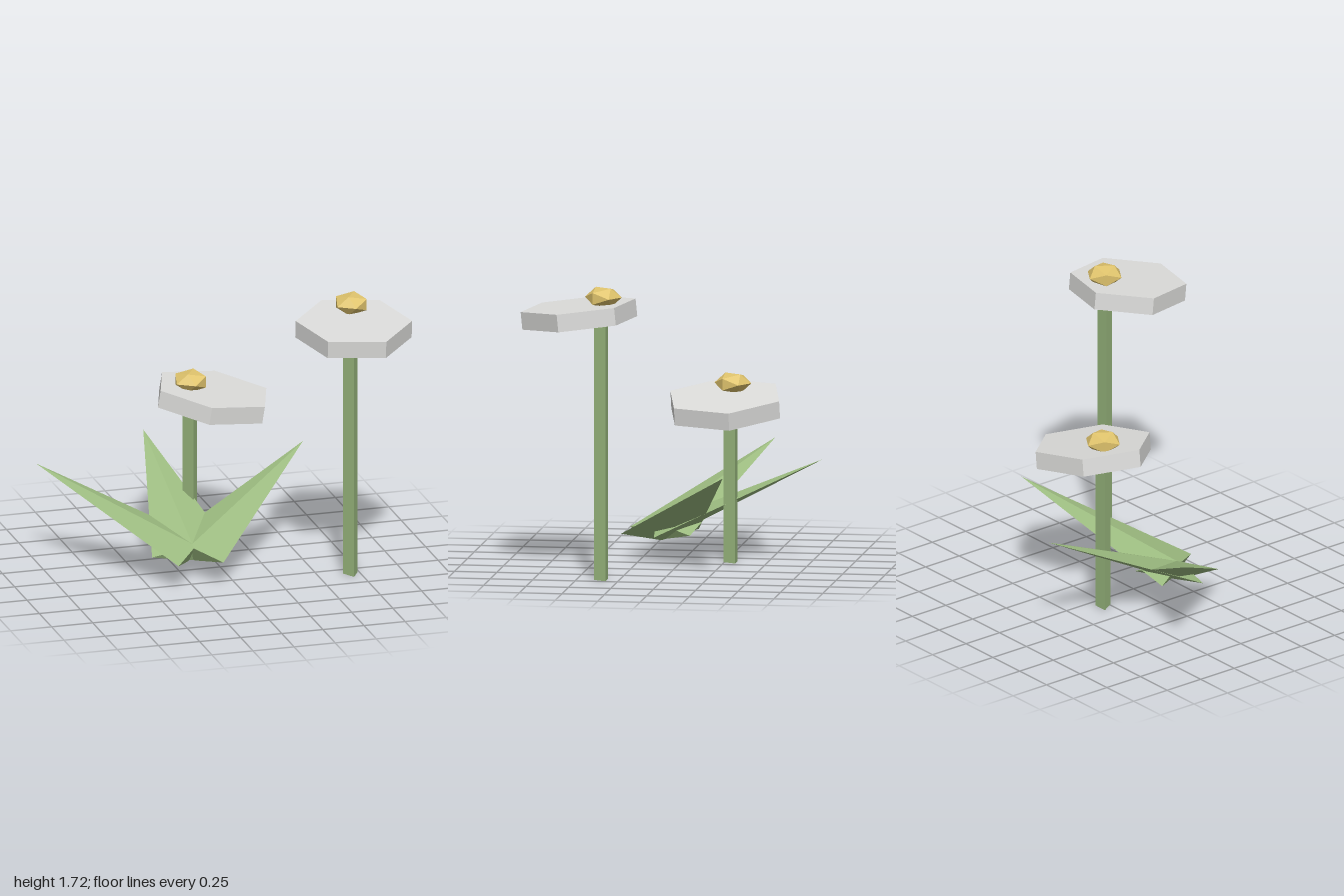
import * as THREE from 'three';

const material = (name, color) => {
  const m = new THREE.MeshStandardMaterial({ color });
  m.name = name;
  return m;
};

export function createModel() {
  const green = material('leaf green', 0x9cbb80);
  const white = material('petal white', 0xdcdcda);
  const gold = material('pollen gold', 0xdfc36c);
  const model = new THREE.Group();
  model.name = 'flowers';

  // Flat-faced mesh with hard edges
  const add = (parent, name, geometry, mat, x, y, z) => {
    const flat = geometry.index ? geometry.toNonIndexed() : geometry;
    flat.computeVertexNormals();
    const mesh = new THREE.Mesh(flat, mat);
    mesh.name = name;
    mesh.position.set(x, y, z);
    parent.add(mesh);
    return mesh;
  };

  // Each flower: three-sided stem, tilted hexagonal head, squashed faceted centre
  const flowers = [
    { name: 'tallFlower', stem: [0.695, 0.347], height: 1.55, head: [0.665, 1.56, 0.49], radius: 0.34, yaw: 0.3, tilt: [0.1, 0], centreY: 1.668 },
    { name: 'shortFlower', stem: [-0.09, -0.295], height: 0.96, head: [0.033, 0.948, -0.274], radius: 0.355, yaw: 0.73, tilt: [0.03, -0.15], centreY: 1.058 },
  ];
  for (const f of flowers) {
    const flower = new THREE.Group();
    flower.name = f.name;
    const [x, z] = f.stem;
    add(flower, 'stem', new THREE.CylinderGeometry(0.05, 0.05, f.height, 3), green, x, f.height / 2, z);

    const headGeometry = new THREE.CylinderGeometry(f.radius, f.radius, 0.104, 6).rotateY(f.yaw);
    const head = add(flower, 'flowerHead', headGeometry, white, ...f.head);
    head.rotation.set(f.tilt[0], 0, f.tilt[1]);

    const centreGeometry = new THREE.IcosahedronGeometry(0.109, 0).scale(1, 0.6, 1).rotateY(1);
    add(flower, 'flowerCentre', centreGeometry, gold, x, f.centreY, z - 0.005);
    model.add(flower);
  }

  // Leaves: flattened four-sided spikes fanning out backwards from one point
  const leaves = new THREE.Group();
  leaves.name = 'leaves';
  const length = 1.062, rise = 0.436;
  for (const turn of [0.951, 0.01, -1.026]) {
    const leaf = new THREE.ConeGeometry(0.245, length, 4)
      .scale(1, 1, 0.22)
      .translate(0, length / 2, 0)
      .rotateX(rise - Math.PI / 2)
      .rotateY(turn);
    add(leaves, 'leaf', leaf, green, -0.215, 0.153, 0.15);
  }
  model.add(leaves);

  return model;
}
